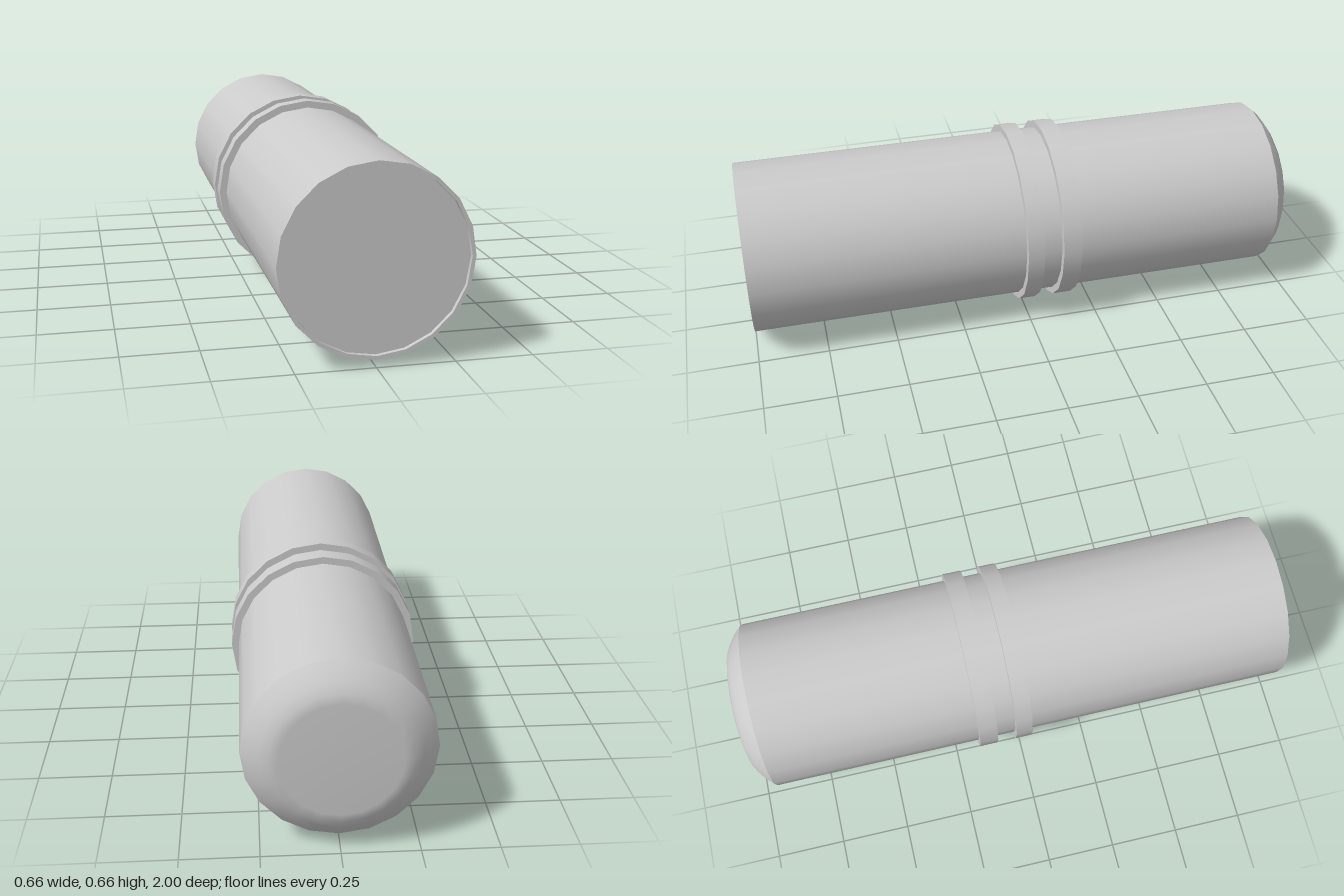
import * as THREE from 'three';

const SIDES = 20, AXIS_Y = 0.33;
const R = 0.305, RING_R = 0.33, LIP_R = 0.293, RECESS = 0.985;
const material = new THREE.MeshStandardMaterial({ color: 0xcccccc });

// Turns a [radius, z] profile, listed front to back, around the long axis.
function turned(name, profile) {
  const geometry = new THREE.LatheGeometry(profile.map(([r, z]) => new THREE.Vector2(r, -z)), SIDES);
  geometry.rotateX(-Math.PI / 2);
  const mesh = new THREE.Mesh(geometry, material);
  mesh.name = name;
  return mesh;
}

// Collar ring: front face, outer band and back face, with sharp edges between.
function ring(name, front, back) {
  const group = new THREE.Group();
  group.name = name;
  group.add(
    turned('ringFront', [[R - 0.01, front], [RING_R, front]]),
    turned('ringBand', [[RING_R, front], [RING_R, back]]),
    turned('ringBack', [[RING_R, back], [R - 0.01, back]])
  );
  return group;
}

export function createModel() {
  const model = new THREE.Group();
  model.name = 'roundedCylinder';

  // Main barrel
  model.add(turned('barrel', [[R, 1], [R, -0.928]]));

  // Front end: thin lip around a slightly recessed disc
  model.add(
    turned('frontDisc', [[0, RECESS], [LIP_R, RECESS]]),
    turned('lipInside', [[LIP_R, RECESS], [LIP_R, 1]]),
    turned('lip', [[LIP_R, 1], [R, 1]])
  );

  // Rounded back end
  model.add(turned('backCap', [
    [R, -0.928], [0.28, -0.953], [0.25, -0.976], [0.222, -0.992], [0.19, -1], [0, -1]
  ]));

  // Two collar rings around the middle
  model.add(ring('frontRing', 0.03, -0.03), ring('backRing', -0.1, -0.167));

  for (const part of model.children) part.position.y = AXIS_Y;
  return model;
}
